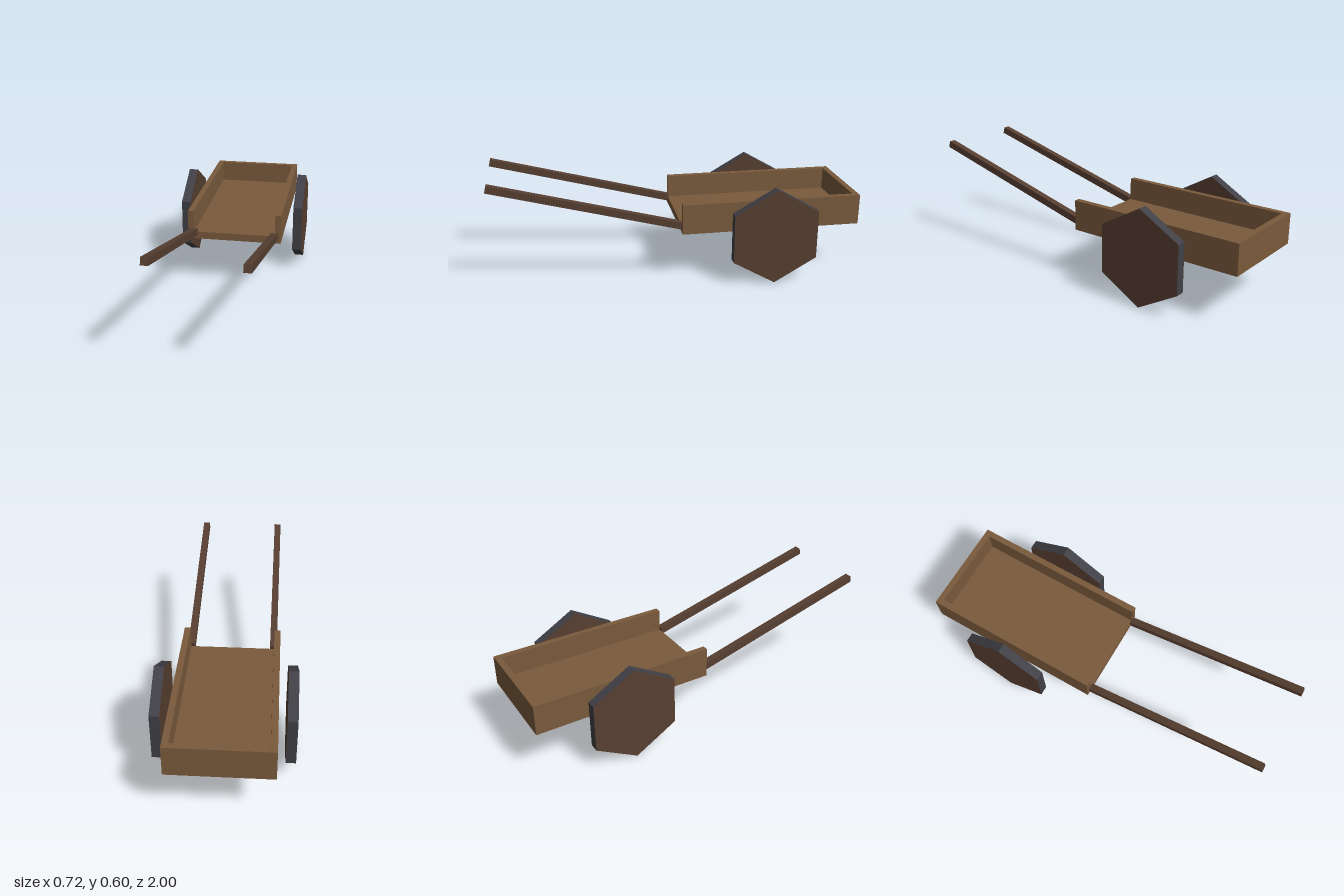
import * as THREE from 'three';

export function createModel() {
  const cart = new THREE.Group();
  cart.name = 'handcart';

  const material = (name, color) => {
    const m = new THREE.MeshStandardMaterial({ color });
    m.name = name;
    return m;
  };
  const bedWood = material('bed wood', 0x7a5a3c);
  const darkWood = material('dark wood', 0x573f31);
  const iron = material('wheel rim iron', 0x404046);

  // Box given by its lower and upper corners
  const addBox = (parent, name, mat, [x0, y0, z0], [x1, y1, z1]) => {
    const mesh = new THREE.Mesh(new THREE.BoxGeometry(x1 - x0, y1 - y0, z1 - z0), mat);
    mesh.position.set((x0 + x1) / 2, (y0 + y1) / 2, (z0 + z1) / 2);
    mesh.name = name;
    parent.add(mesh);
  };

  // Open-fronted bed: floor, tailboard and two side boards
  const half = 0.265, wall = 0.033, back = -1, front = -0.015;
  const bottom = 0.276, floorTop = 0.318, top = 0.442;
  const bed = new THREE.Group();
  bed.name = 'bed';
  cart.add(bed);
  addBox(bed, 'floor', bedWood, [-half, bottom, back], [half, floorTop, front]);
  addBox(bed, 'tailboard', bedWood, [wall - half, floorTop, back], [half - wall, top, back + wall]);
  addBox(bed, 'leftSideBoard', bedWood, [half - wall, floorTop, back], [half, top, front]);
  addBox(bed, 'rightSideBoard', bedWood, [-half, floorTop, back], [wall - half, top, front]);

  // Six-sided wheel with a point at the top, flat faceted rim and wooden faces
  const radius = 0.265;
  const wheelGeometry = new THREE.CylinderGeometry(radius, radius, 0.052, 6, 1, false, Math.PI / 6)
    .rotateZ(Math.PI / 2)
    .toNonIndexed();
  wheelGeometry.computeVertexNormals();

  // Shaft sloping up towards the front
  const shaftBack = new THREE.Vector3(0, 0.318, -0.013);
  const shaftFront = new THREE.Vector3(0, 0.583, 0.995);
  const run = shaftFront.clone().sub(shaftBack);
  const shaftGeometry = new THREE.BoxGeometry(0.038, 0.038, run.length());

  for (const [side, sign] of [['left', 1], ['right', -1]]) {
    const wheel = new THREE.Mesh(wheelGeometry, [iron, darkWood, darkWood]);
    wheel.name = side + 'Wheel';
    wheel.position.set(sign * 0.335, radius, -0.505);
    cart.add(wheel);

    const shaft = new THREE.Mesh(shaftGeometry, darkWood);
    shaft.name = side + 'Shaft';
    shaft.position.copy(shaftBack).add(shaftFront).multiplyScalar(0.5);
    shaft.position.x = sign * 0.229;
    shaft.rotation.x = -Math.atan2(run.y, run.z);
    cart.add(shaft);
  }

  return cart;
}
